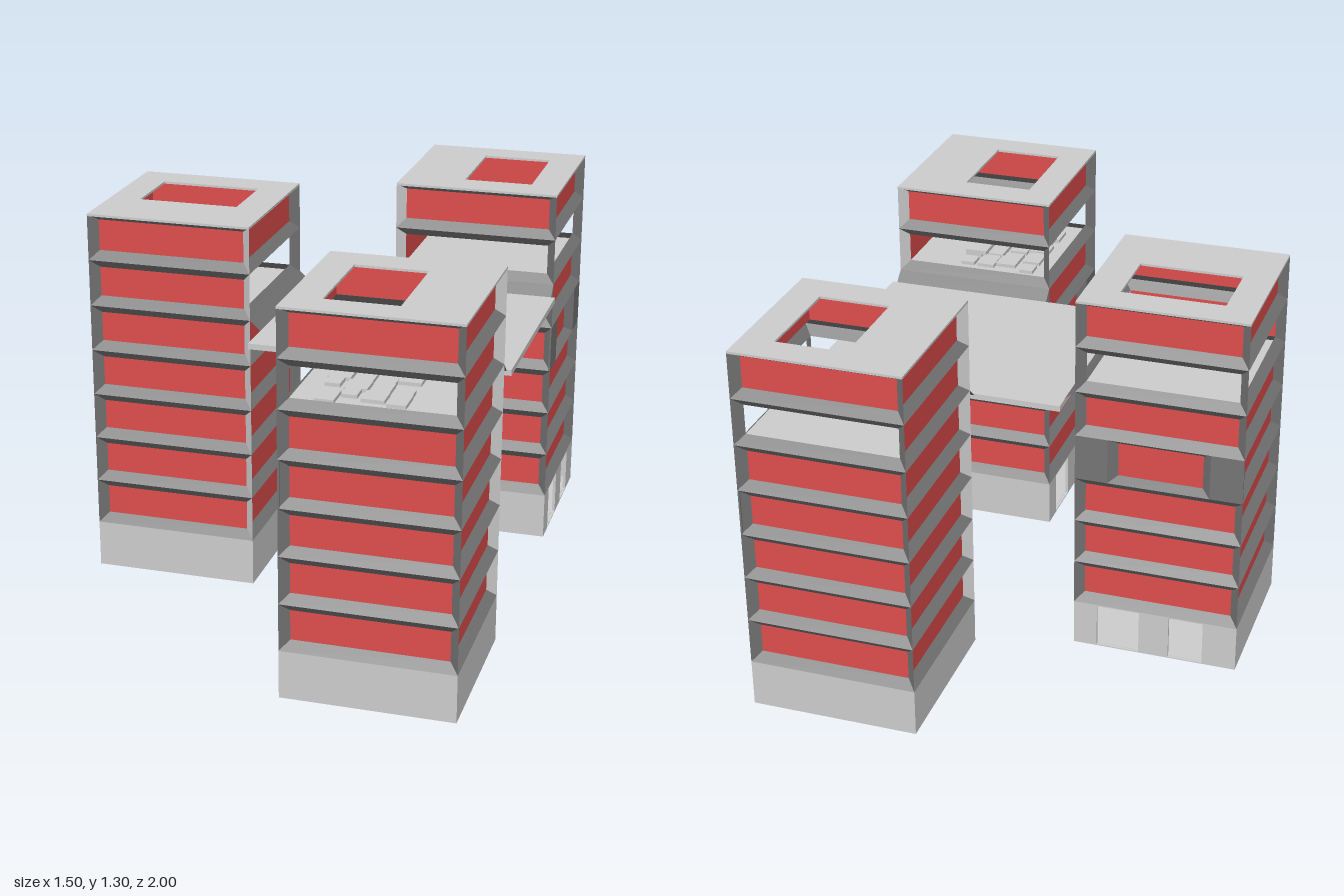
import * as THREE from 'three';

const grey = new THREE.MeshStandardMaterial({ color: 0xcccccc, side: THREE.DoubleSide });
const dark = new THREE.MeshStandardMaterial({ color: 0x747474, side: THREE.DoubleSide });
const red = new THREE.MeshStandardMaterial({ color: 0xdd4c4c, side: THREE.DoubleSide });

const H = 0.2875;      // half width of a tower
const BASE = 0.165;    // height of the ground storey
const PITCH = 0.1625;  // storey height
const TOP = 1.3;
const INSET = 0.03;

function add(parent, name, geometry, material, x = 0, y = 0, z = 0) {
  const mesh = new THREE.Mesh(geometry, material);
  mesh.name = name;
  mesh.position.set(x, y, z);
  parent.add(mesh);
  return mesh;
}

function box(parent, name, material, w, h, d, x, y, z) {
  return add(parent, name, new THREE.BoxGeometry(w, h, d), material, x, y, z);
}

// Flat sheets from lists of four corners, anticlockwise seen from the front
function sheets(quads) {
  const points = [];
  for (const [a, b, c, d] of quads) points.push(...a, ...b, ...c, ...a, ...c, ...d);
  const geometry = new THREE.BufferGeometry();
  geometry.setAttribute('position', new THREE.Float32BufferAttribute(points, 3));
  geometry.computeVertexNormals();
  return geometry;
}

// Rectangular plate with rectangular holes [x0, y0, x1, y1]
function plate(x0, y0, x1, y1, holes, depth) {
  const rect = (Type, a, b, c, d) => {
    const s = new Type();
    s.moveTo(a, b).lineTo(c, b).lineTo(c, d).lineTo(a, d).closePath();
    return s;
  };
  const shape = rect(THREE.Shape, x0, y0, x1, y1);
  for (const hole of holes) shape.holes.push(rect(THREE.Path, ...hole));
  return new THREE.ExtrudeGeometry(shape, { depth, bevelEnabled: false });
}

// One storey of one facade, facing +z: sloped sills around a recessed panel
function storey(face, floor, faceIndex) {
  const y0 = BASE + floor * PITCH;
  const y1 = Math.min(y0 + PITCH, TOP);
  const narrow = floor === 3 && faceIndex === 1;
  const open = floor === 5 && faceIndex !== 3;
  const half = narrow ? 0.175 : H;
  const inner = half - INSET;
  const z = H - INSET;
  const low = y0 + (narrow ? 0.02 : INSET);
  const high = y1 - (narrow || floor === 6 ? 0.022 : INSET);
  add(face, 'slopedSills', sheets([
    [[-half, y0, H], [half, y0, H], [inner, low, z], [-inner, low, z]],
    [[-inner, high, z], [inner, high, z], [half, y1, H], [-half, y1, H]],
  ]), dark);
  // diagonal fin at the right hand corner
  add(face, 'cornerFin', sheets([
    [[z, y0 + INSET, z], [H, y0, H], [H, y1, H], [z, high, z]],
  ]), faceIndex === 3 ? grey : dark);
  if (narrow) {
    for (const s of [-1, 1]) {
      const w = H - half;
      box(face, 'windowSidePanel', dark, w, y1 - y0, 0.006, s * (half + w / 2), (y0 + y1) / 2, H - 0.003);
      add(face, 'windowReveal', sheets([
        [[s * half, y0, H], [s * inner, low, z], [s * inner, high, z], [s * half, y1, H]],
      ]), dark);
    }
  }
  if (!open) {
    add(face, 'redPanel', sheets([
      [[-inner, low, z], [inner, low, z], [inner, high, z], [-inner, high, z]],
    ]), red);
  }
}

function tower(name, x, z, turn) {
  const group = new THREE.Group();
  group.name = name;
  group.position.set(x, 0, z);
  group.rotation.y = turn;

  for (let k = 0; k < 4; k++) {
    const face = new THREE.Group();
    face.name = 'facade';
    face.rotation.y = k * Math.PI / 2;
    group.add(face);
    // ground storey, with entrances on one side
    const doors = k === 1 ? [[-0.205, 0.004, -0.055, BASE - 0.004], [0.05, 0.004, 0.17, BASE - 0.004]] : [];
    add(face, 'baseWall', plate(-H, 0, H, BASE, doors, 0.01), grey, 0, 0, H - 0.01);
    for (let floor = 0; floor < 7; floor++) storey(face, floor, k);
  }

  // ground plate with two red hatches below
  box(group, 'groundPlate', grey, 2 * H - 0.02, 0.004, 2 * H - 0.02, 0, 0.003, 0);
  for (const s of [-1, 1]) box(group, 'floorHatch', red, 0.1, 0.002, 0.1, -0.11, 0.001, s * 0.235);

  // terrace floor of the open storey and the roof with its skylight
  const terrace = BASE + 5 * PITCH;
  box(group, 'terraceFloor', grey, 2 * H - 0.01, 0.006, 2 * H - 0.01, 0, terrace, 0);
  const roof = plate(-H, -H, H, H, [[-0.065, -0.17, 0.175, 0.18]], 0.008);
  roof.rotateX(-Math.PI / 2);
  add(group, 'roof', roof, grey, 0, TOP - 0.005, 0);

  // sloped sheet leading down to the shared deck
  add(group, 'deckRamp', sheets([
    [[-H, 0.94, H + 0.042], [H, 0.94, H + 0.042], [H, terrace, H], [-H, terrace, H]],
  ]), dark);
  return group;
}

export function createModel() {
  const model = new THREE.Group();
  model.name = 'towerComplex';

  const front = tower('frontTower', 0.445, 0.71, Math.PI);
  model.add(tower('backTower', 0.445, -0.71, 0));
  model.add(tower('sideTower', -0.46, -0.037, Math.PI / 2));
  model.add(front);

  // deck between the towers
  box(model, 'deck', grey, 0.885, 0.02, 0.76, 0.305, 0.935, 0);

  // low slabs scattered on the front tower's terrace
  for (let i = 0; i < 4; i++) {
    for (let j = 0; j < 5; j++) {
      const w = 0.05 + 0.012 * ((i * 2 + j) % 3);
      const d = 0.06 + 0.015 * ((i + j * 2) % 3);
      const y = 0.987 + 0.006 * ((i * 3 + j) % 4);
      box(model, 'terraceSlab', grey, w, 0.012, d, 0.28 + i * 0.075, y, 0.55 + j * 0.08);
    }
  }
  box(model, 'raisedSlab', grey, 0.08, 0.015, 0.1, 0.49, 1.018, 0.62);
  box(model, 'raisedSlab', grey, 0.08, 0.015, 0.1, 0.62, 1.048, 0.7);
  box(model, 'raisedSlab', grey, 0.08, 0.015, 0.1, 0.62, 1.087, 0.82);

  return model;
}
